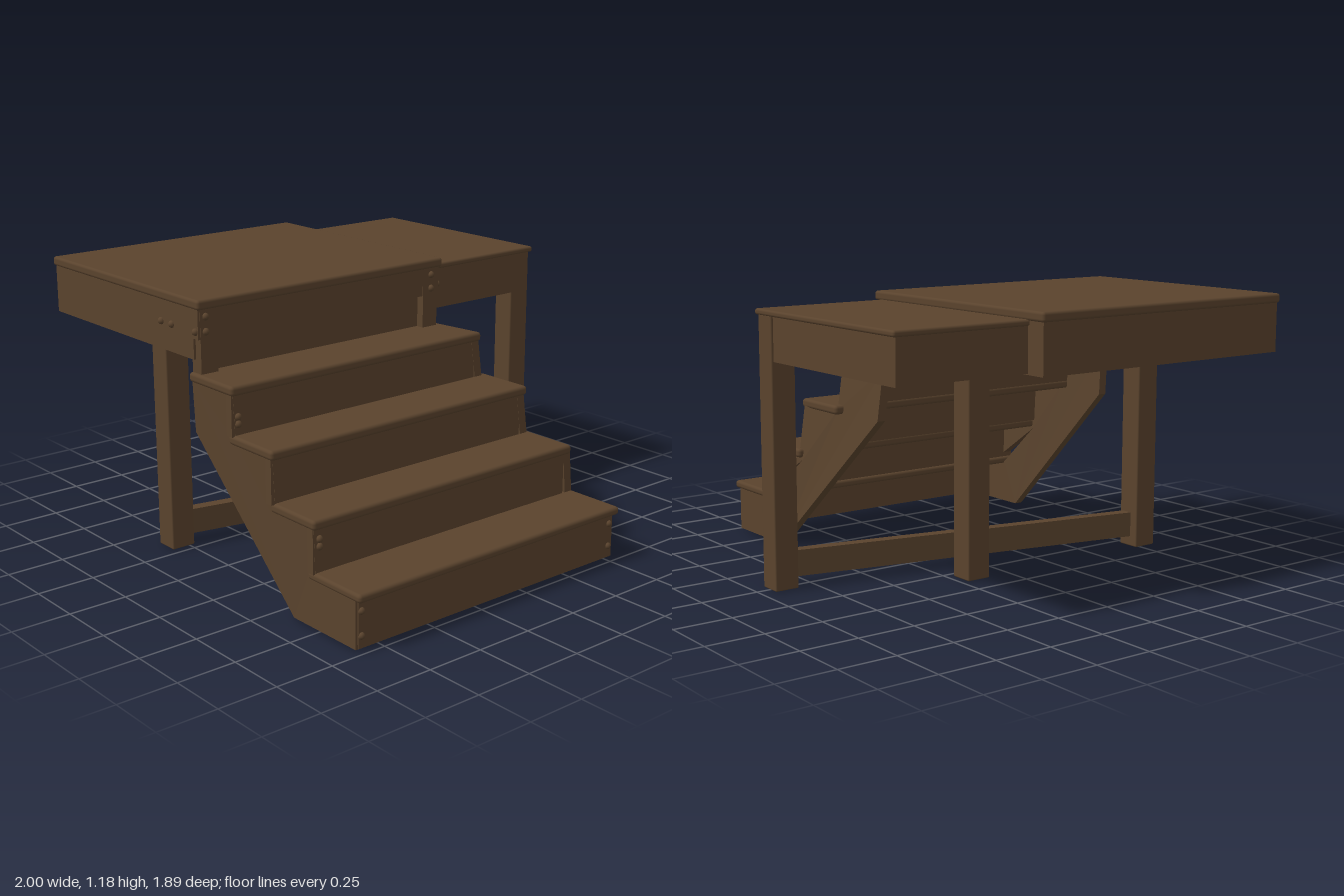
import * as THREE from 'three';
import { RoundedBoxGeometry } from 'three/addons/geometries/RoundedBoxGeometry.js';

const wood = new THREE.MeshStandardMaterial({ color: 0x5a432d });
wood.name = 'brown wood';

export function createModel() {
  const model = new THREE.Group();
  model.name = 'deckWithStairs';

  const add = (name, geometry) => {
    const mesh = new THREE.Mesh(geometry, wood);
    mesh.name = name;
    model.add(mesh);
    return mesh;
  };
  // Box given by its limits; a radius rounds the edges
  const board = (name, [x0, x1], [y0, y1], [z0, z1], r = 0) => {
    const s = [x1 - x0, y1 - y0, z1 - z0];
    const g = r ? new RoundedBoxGeometry(...s, 2, r) : new THREE.BoxGeometry(...s);
    g.translate((x0 + x1) / 2, (y0 + y1) / 2, (z0 + z1) / 2);
    return add(name, g);
  };
  const bolt = (x, y, z) =>
    add('bolt', new THREE.SphereGeometry(0.015, 10, 8)).position.set(x, y, z);

  // Main deck
  board('mainDeckTop', [-1, 0.115], [1.14, 1.18], [-0.34, 0.94], 0.012);
  board('mainDeckFrame', [-0.99, 0.065], [0.935, 1.145], [-0.33, 0.93]);
  board('deckHeader', [0.05, 0.098], [1.02, 1.145], [-0.33, 0.93]);

  // Lower back deck with a frame open underneath
  board('backDeckTop', [-0.91, 0.07], [1.12, 1.145], [-0.945, -0.325], 0.01);
  for (const [x0, x1] of [[-0.9, -0.86], [0.01, 0.05]])
    board('backDeckSideBeam', [x0, x1], [0.94, 1.125], [-0.925, -0.325]);
  board('backDeckEndBeam', [-0.9, 0.05], [0.94, 1.125], [-0.93, -0.89]);

  // Legs and the low diagonal rail
  board('backLeg', [-0.05, 0.05], [0, 1.125], [-0.94, -0.832], 0.006);
  for (const z of [-0.165, 0.78])
    board('deckLeg', [-0.39, -0.285], [0, 0.95], [z - 0.055, z + 0.055], 0.006);
  const a = new THREE.Vector3(0, 0.1, -0.86), b = new THREE.Vector3(-0.335, 0.1, 0.77);
  const rail = add('diagonalRail', new THREE.BoxGeometry(0.05, 0.11, a.distanceTo(b)));
  rail.position.copy(a).lerp(b, 0.5);
  rail.lookAt(b);

  // Posts and ledger joining the stairs to the deck
  for (const [z0, z1] of [[0.84, 0.92], [-0.32, -0.24]])
    board('stairPost', [0.06, 0.1], [0.85, 1.14], [z0, z1]);
  board('stairLedger', [0.04, 0.062], [0.82, 0.94], [-0.33, 0.92]);

  // Treads and risers: x limits, underside, top, riser bottom, back and front z
  const steps = [
    [0.03, 0.32, 0.84, 0.88, 0.67, -0.385, 0.935],
    [0.26, 0.54, 0.635, 0.675, 0.45, -0.45, 0.915],
    [0.49, 0.76, 0.415, 0.455, 0.23, -0.5, 0.89],
    [0.69, 1.0, 0.2, 0.235, 0.01, -0.545, 0.87],
  ];
  steps.forEach(([x0, x1, y0, y1, bottom, z0, z1], i) => {
    const tread = board('tread', [x0, x1], [y0, y1], [z0, z1], 0.014);
    const p = tread.geometry.attributes.position;
    // The top tread narrows towards the deck
    for (let k = 0; i === 0 && k < p.count; k++)
      if (p.getZ(k) < 0) p.setZ(k, p.getZ(k) + 0.04 * (x1 - p.getX(k)) / (x1 - x0));
    board('riser', [x1 - 0.06, x1 - 0.026], [bottom, y0 + 0.005], [z0 + 0.02, z1 - 0.015]);
  });

  // Saw-tooth stringers that splay sideways as they descend
  const outline = [
    [0.04, 0.85], [0.04, 0.63], [0.6, 0.008], [0.97, 0.008], [0.97, 0.21],
    [0.69, 0.21], [0.49, 0.405], [0.735, 0.23], [0.735, 0.425], [0.515, 0.43],
    [0.515, 0.645], [0.295, 0.65], [0.295, 0.85],
  ];
  const shape = new THREE.Shape(outline.map(([x, y]) => new THREE.Vector2(x, y)));
  const stringer = (name, zTop, zShift) => {
    const flat = new THREE.ExtrudeGeometry(shape, { depth: 0.04, bevelEnabled: false });
    const p = flat.attributes.position;
    for (let i = 0; i < p.count; i++) {
      const t = 0.5 * (p.getX(i) - 0.05) / 0.6 + 0.5 * (0.85 - p.getY(i)) / 0.65;
      p.setZ(i, p.getZ(i) + zTop + zShift * THREE.MathUtils.clamp(t, 0, 1));
    }
    flat.computeVertexNormals();
    add(name, flat);
  };
  stringer('frontStringer', 0.885, -0.06);
  stringer('backStringer', -0.35, -0.185);

  // Bolts on the deck frame, posts and risers
  for (const x of [-0.16, -0.085]) bolt(x, 1.05, 0.93);
  for (const z of [0.895, -0.285]) for (const y of [1.05, 1.11]) bolt(0.1, y, z);
  bolt(0.05, 1.05, -0.365);
  bolt(0.08, 1.05, 0.93);
  for (const z of [0.84, -0.51]) for (const y of [0.06, 0.16]) bolt(0.972, y, z);
  for (const y of [0.34, 0.37]) bolt(0.735, y, 0.845);
  for (const y of [0.72, 0.75]) bolt(0.295, y, 0.89);

  return model;
}
